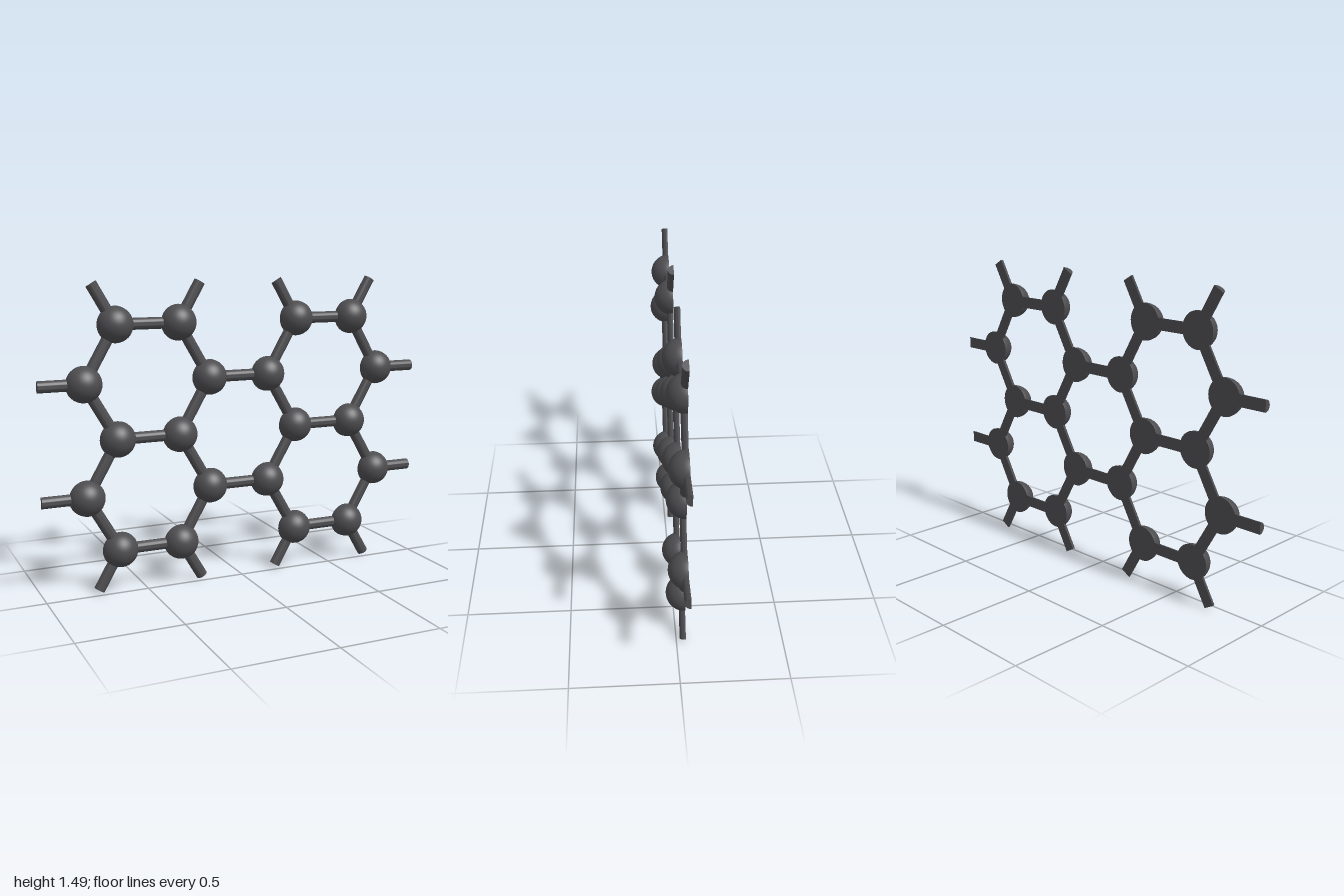
import * as THREE from 'three';
import { mergeGeometries, toCreasedNormals } from 'three/addons/utils/BufferGeometryUtils.js';

const D = 0.3125;               // distance between neighbouring joints
const H = D * Math.sqrt(3) / 2; // row spacing
const BALL = 0.087, ROD = 0.028;
const STUB = 1 - 2.5 * D;       // length of the open outer rods
const MID_Y = 0.745, BACK_Z = -0.0435;

// Half ball, flat side facing -z
function halfBall() {
  const dome = new THREE.SphereGeometry(BALL, 32, 12, 0, Math.PI * 2, 0, Math.PI / 2).rotateX(Math.PI / 2);
  const back = new THREE.CircleGeometry(BALL, 32).rotateY(Math.PI);
  return mergeGeometries([dome, back]);
}

// Half-round rod along +x, flat side facing -z
function halfRod(length) {
  const shape = new THREE.Shape();
  shape.absarc(0, 0, ROD, 0, Math.PI, false);
  shape.closePath();
  const geo = new THREE.ExtrudeGeometry(shape, { depth: length, bevelEnabled: false, curveSegments: 12 });
  geo.applyMatrix4(new THREE.Matrix4().makeBasis(
    new THREE.Vector3(0, 1, 0), new THREE.Vector3(0, 0, 1), new THREE.Vector3(1, 0, 0)));
  return toCreasedNormals(geo, Math.PI / 5);
}

export function createModel() {
  const model = new THREE.Group();
  model.name = 'hexagonLattice';
  const darkGrey = new THREE.MeshStandardMaterial({ color: 0x4d4d50 });
  darkGrey.name = 'darkGrey';

  const ballGeo = halfBall(), linkGeo = halfRod(D), stubGeo = halfRod(STUB);
  const add = (name, geo, p, angle = 0) => {
    const mesh = new THREE.Mesh(geo, darkGrey);
    mesh.name = name;
    mesh.position.set(p.x, p.y + MID_Y, BACK_Z);
    mesh.rotation.z = angle;
    model.add(mesh);
  };

  // Joints and the open rods at the outer edge, mirrored left and right
  const joints = [];
  for (const side of [-1, 1]) {
    for (let row = -2; row <= 2; row++) {
      const odd = row % 2 !== 0;
      const columns = odd ? [0.5, 2.5] : [1, 2];
      columns.forEach((column, i) => {
        const p = new THREE.Vector2(side * column * D, row * H);
        joints.push(p);
        add('joint', ballGeo, p);
        if (odd && i === 1) add('sideStub', stubGeo, p, side > 0 ? 0 : Math.PI);
        if (Math.abs(row) === 2) {
          const dx = side * (i === 1 ? 0.5 : -0.5);
          add('endStub', stubGeo, p, Math.atan2(Math.sign(row) * Math.sqrt(0.75), dx));
        }
      });
    }
  }

  // Links between every pair of neighbouring joints
  joints.forEach((a, i) => {
    for (const b of joints.slice(i + 1)) {
      if (Math.abs(a.distanceTo(b) - D) < 0.01) {
        add('link', linkGeo, a, Math.atan2(b.y - a.y, b.x - a.x));
      }
    }
  });
  return model;
}
